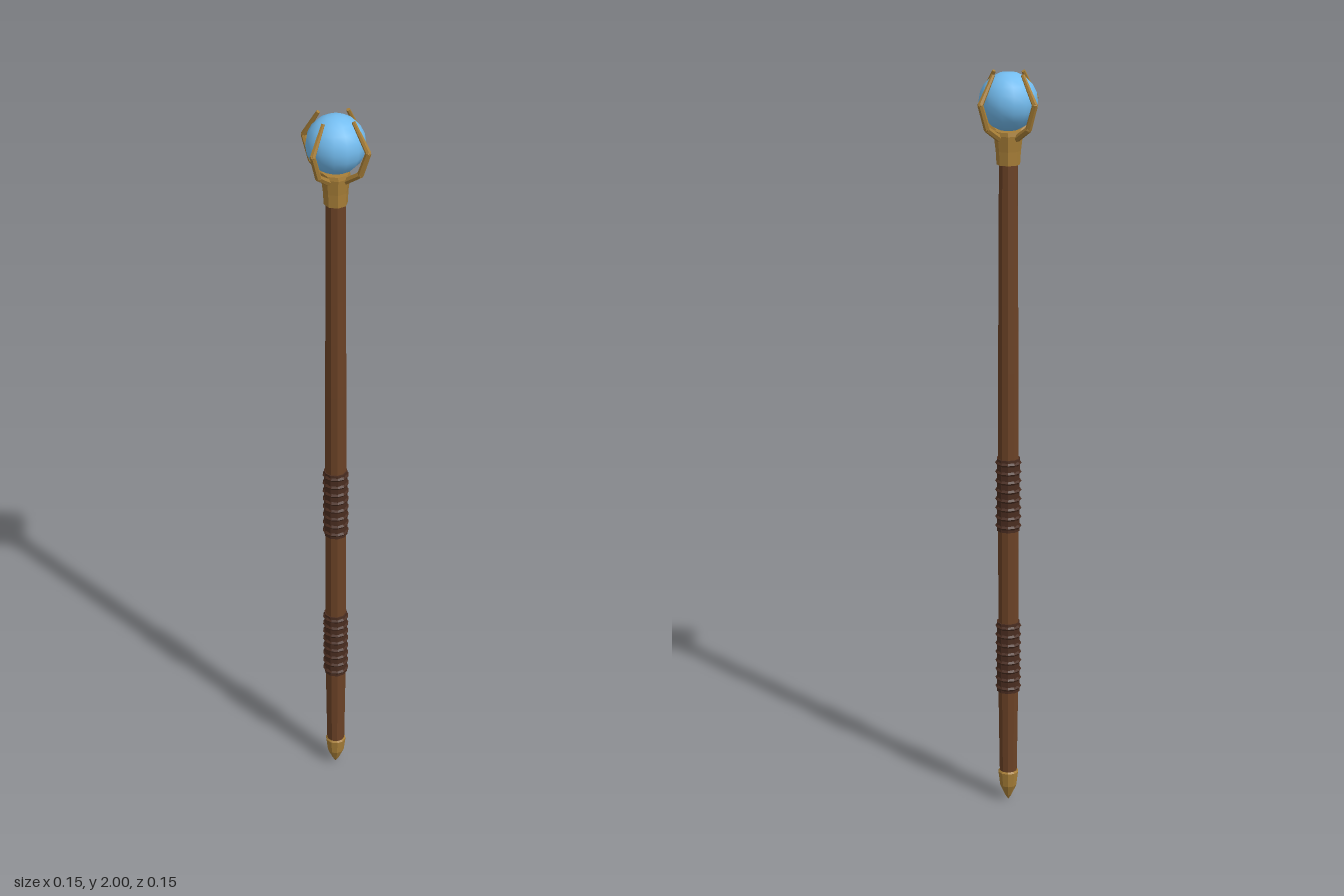
import * as THREE from 'three';

const mat = (color, flatShading = true) => new THREE.MeshStandardMaterial({ color, flatShading });

export function createModel() {
  const model = new THREE.Group();
  const wood = mat(0x6b4226), leather = mat(0x4a2d20), gold = mat(0xa87f38), glass = mat(0x74bdf0, false);

  const add = (parent, name, geometry, material, y = 0) => {
    const mesh = new THREE.Mesh(geometry, material);
    mesh.name = name;
    mesh.position.y = y;
    parent.add(mesh);
    return mesh;
  };
  // profile rows are [radius, height], from bottom to top
  const turned = (rows, sides) =>
    new THREE.LatheGeometry(rows.map(([r, y]) => new THREE.Vector2(r, y)), sides);

  // Long shaft, slightly swollen along the middle
  add(model, 'shaft', turned([
    [0, 0.07], [0.024, 0.07], [0.026, 0.2], [0.028, 0.34], [0.028, 0.8],
    [0.028, 1.22], [0.026, 1.5], [0.025, 1.78], [0, 1.78],
  ], 10), wood);

  // Pointed metal foot
  add(model, 'footCap', turned([
    [0, 0], [0.009, 0.014], [0.023, 0.045], [0.028, 0.085], [0.024, 0.09], [0, 0.09],
  ], 10), gold);

  // Two leather grips, each a sleeve with wrapped rings
  for (const [name, bottom] of [['lowerGrip', 0.325], ['upperGrip', 0.785]]) {
    const grip = new THREE.Group();
    grip.name = name;
    add(grip, 'gripSleeve', new THREE.CylinderGeometry(0.0315, 0.0315, 0.2, 10), leather, bottom + 0.1);
    for (let i = 0; i < 8; i++) {
      const ring = add(grip, 'gripRing', new THREE.TorusGeometry(0.029, 0.006, 5, 12), leather, bottom + 0.0125 + i * 0.025);
      ring.rotation.x = Math.PI / 2;
    }
    model.add(grip);
  }

  // Flared collar below the orb
  add(model, 'collar', turned([
    [0, 1.765], [0.03, 1.765], [0.032, 1.8], [0.037, 1.84], [0.035, 1.85], [0, 1.85],
  ], 8), gold);

  // Orb
  add(model, 'orb', new THREE.SphereGeometry(0.075, 14, 10), glass, 1.925);

  // Four bent claws on the diagonals: [distance out, height, thickness]
  const bends = [[0.028, 1.832, 0.009], [0.073, 1.862, 0.0085], [0.096, 1.925, 0.0075], [0.052, 1.996, 0.005]];
  const up = new THREE.Vector3(0, 1, 0);
  for (let k = 0; k < 4; k++) {
    const claw = new THREE.Group();
    claw.name = 'claw';
    for (let i = 0; i < 3; i++) {
      const [r0, y0, t0] = bends[i], [r1, y1, t1] = bends[i + 1];
      const a = new THREE.Vector3(r0, y0, 0), b = new THREE.Vector3(r1, y1, 0);
      const dir = b.clone().sub(a);
      const part = add(claw, 'clawSegment', new THREE.CylinderGeometry(t1, t0, dir.length(), 6), gold);
      part.position.copy(a).add(b).multiplyScalar(0.5);
      part.quaternion.setFromUnitVectors(up, dir.normalize());
      // Knuckle fills the outside of each bend
      if (i < 2) add(claw, 'clawKnuckle', new THREE.SphereGeometry(t1, 6, 4), gold).position.copy(b);
    }
    claw.rotation.y = Math.PI / 4 + k * Math.PI / 2;
    model.add(claw);
  }
  return model;
}
